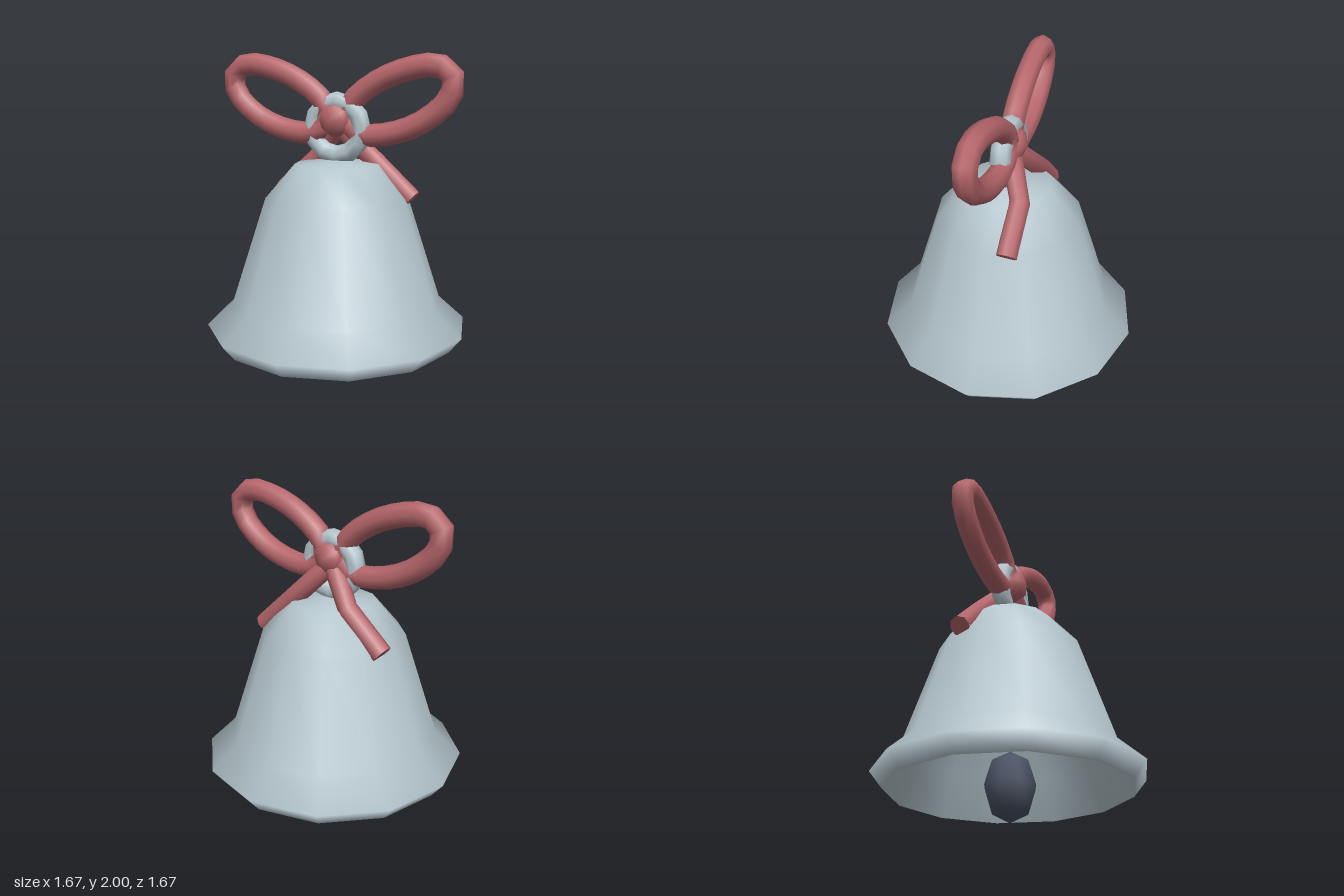
import * as THREE from 'three';

export function createModel() {
  const model = new THREE.Group();
  const silver = new THREE.MeshStandardMaterial({ color: 0xb4c5cc });
  silver.name = 'silver';
  const ribbon = new THREE.MeshStandardMaterial({ color: 0xb6666b });
  ribbon.name = 'ribbonRed';
  const iron = new THREE.MeshStandardMaterial({ color: 0x485062 });
  iron.name = 'darkIron';

  const add = (name, geometry, material, parent = model) => {
    const mesh = new THREE.Mesh(geometry, material);
    mesh.name = name;
    parent.add(mesh);
    return mesh;
  };
  const lathe = (profile) =>
    new THREE.LatheGeometry(profile.map(([r, y]) => new THREE.Vector2(r, y)), 12);

  // Bell: outer skin runs upward, inner skin runs downward so it faces inside
  add('bellOuter', lathe([
    [0.755, 0.19], [0.835, 0.29], [0.67, 0.44], [0.453, 1.11], [0.267, 1.325], [0, 1.355],
  ]), silver);
  add('bellInner', lathe([
    [0, 1.31], [0.24, 1.28], [0.41, 1.08], [0.63, 0.46], [0.755, 0.19],
  ]), silver);

  // Clapper: low-poly ellipsoid
  const clapper = add('clapper', new THREE.SphereGeometry(0.165, 8, 4), iron);
  clapper.scale.y = 1.33;
  clapper.position.y = 0.224;

  // Hanging ring, its foot sunk into the crown of the bell
  const ring = add('hangingRing', new THREE.TorusGeometry(0.167, 0.06, 8, 12), silver);
  ring.position.y = 1.545;
  ring.scale.z = 1.08;

  // Bow
  const bow = new THREE.Group();
  bow.name = 'bow';
  model.add(bow);
  const knot = add('knot', new THREE.SphereGeometry(0.118, 10, 4), ribbon, bow);
  knot.rotation.x = Math.PI / 2;
  knot.position.y = 1.6;

  const loopPath = [
    [0.06, 1.66], [0.13, 1.745], [0.28, 1.845], [0.45, 1.91], [0.62, 1.935], [0.705, 1.905],
    [0.742, 1.83], [0.7, 1.725], [0.61, 1.64], [0.48, 1.565], [0.3, 1.515], [0.15, 1.515],
    [0.07, 1.57],
  ];
  const tailPath = [[0, 1.565, -0.01], [0.2, 1.34, -0.135], [0.455, 1.11, -0.135]];

  for (const side of [1, -1]) {
    const label = side > 0 ? 'left' : 'right';

    // Closed loop of the bow
    const z = side > 0 ? -0.01 : 0.003;
    const loop = new THREE.CatmullRomCurve3(
      loopPath.map(([x, y]) => new THREE.Vector3(side * x, y, z)), true);
    add(label + 'Loop', new THREE.TubeGeometry(loop, 20, 0.071, 8, true), ribbon, bow);

    // Hanging tail with one sharp bend and a flat cut end
    const tail = new THREE.CatmullRomCurve3(
      tailPath.map(([x, y, tz]) => new THREE.Vector3(side * x, y, tz)), false, 'catmullrom', 0);
    add(label + 'Tail', new THREE.TubeGeometry(tail, 2, 0.064, 8), ribbon, bow);
    const cap = add(label + 'TailEnd', new THREE.CircleGeometry(0.064, 8), ribbon, bow);
    cap.position.copy(tail.getPointAt(1));
    cap.quaternion.setFromUnitVectors(new THREE.Vector3(0, 0, 1), tail.getTangentAt(1));
  }

  return model;
}
